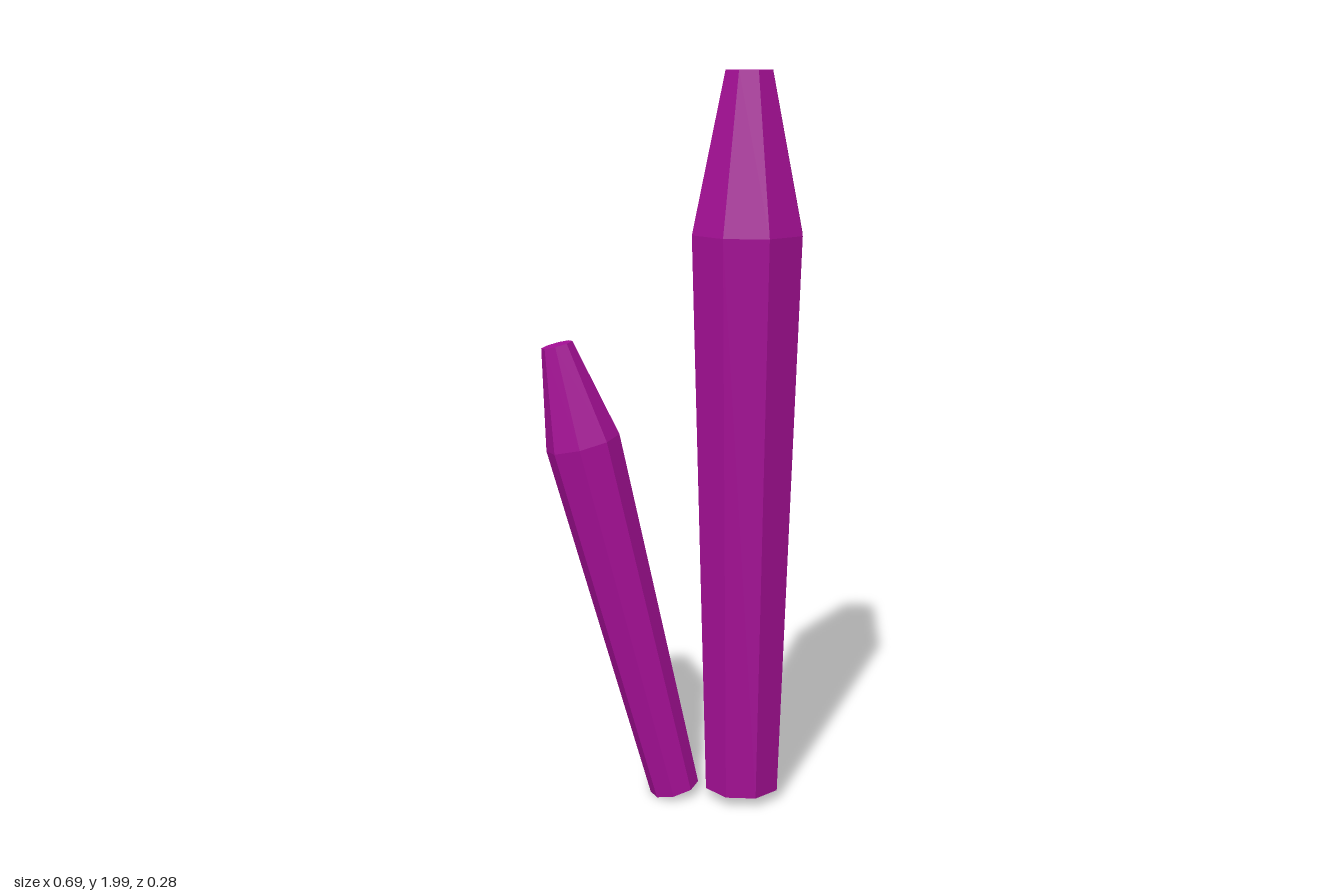
import * as THREE from 'three';

const material = new THREE.MeshStandardMaterial({
  color: 0xa30f94,
  flatShading: true,
  side: THREE.DoubleSide,
});

// Eight-sided crystal: open base, widening shaft, tapered point with a flat tip.
// rings: [radius, height] pairs from base to tip
function crystal(name, rings, twist) {
  const points = rings.map(([r, y]) => new THREE.Vector2(r, y));
  points.push(new THREE.Vector2(0, rings[rings.length - 1][1])); // closes the tip
  const geometry = new THREE.LatheGeometry(points, 8);
  geometry.rotateY(twist);
  const mesh = new THREE.Mesh(geometry, material);
  mesh.name = name;
  return mesh;
}

export function createModel() {
  const group = new THREE.Group();
  group.name = 'crystalCluster';

  // Tall upright crystal, flat side to the front
  const tall = crystal('tallCrystal', [[0.107, 0], [0.154, 1.545], [0.065, 1.96]], Math.PI / 8);
  tall.position.set(0.2, 0.04, 0);

  // Short crystal leaning towards -x
  const short = crystal('shortCrystal', [[0.069, 0], [0.102, 1.025], [0.043, 1.3]], 0.04);
  short.position.set(0.01, 0.025, 0.004);
  short.rotation.z = THREE.MathUtils.degToRad(14);

  group.add(tall, short);
  return group;
}
